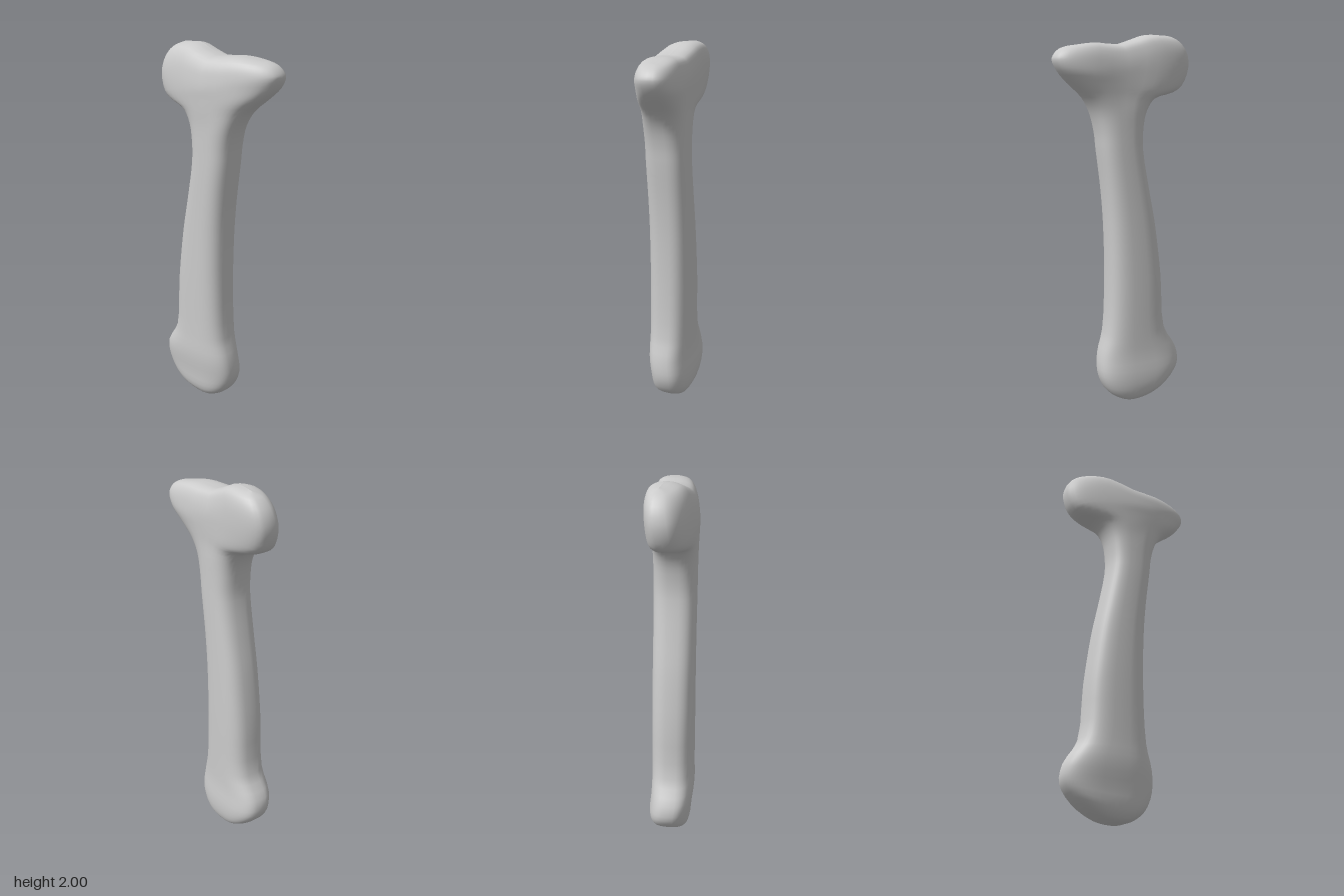
import * as THREE from 'three';

const SIDES = 40, STEPS = 3;

// Lower end and head ribs: [left x, left y, right x, right y, inner y at 1/4, 1/2, 3/4, left z, mid z, right z, half depth]
const foot = [
  [-0.19, 0.035, 0.01, 0.012, 0.015, 0.004, 0.004, 0, 0, 0, 0],
  [-0.22, 0.05, 0.04, 0.025, 0.022, 0.008, 0.008, 0, 0, 0, 0.065],
  [-0.29, 0.1, 0.09, 0.07, 0.07, 0.055, 0.055, 0, 0, 0, 0.103],
  [-0.345, 0.18, 0.128, 0.16, 0.16, 0.15, 0.15, 0, 0, 0, 0.115],
];
const head = [
  [-0.19, 1.67, 0.21, 1.68, 1.67, 1.68, 1.68, 0.01, 0.015, 0, 0.115],
  [-0.295, 1.70, 0.30, 1.755, 1.72, 1.74, 1.745, 0.0, 0.015, -0.015, 0.118],
  [-0.35, 1.735, 0.355, 1.81, 1.775, 1.79, 1.80, -0.005, 0.015, -0.03, 0.12],
  [-0.385, 1.83, 0.382, 1.865, 1.86, 1.84, 1.85, -0.015, 0.012, -0.03, 0.117],
  [-0.37, 1.91, 0.37, 1.895, 1.93, 1.89, 1.90, -0.025, 0.01, -0.028, 0.107],
  [-0.325, 1.965, 0.345, 1.918, 1.975, 1.93, 1.935, -0.03, 0.005, -0.025, 0.085],
  [-0.28, 1.988, 0.31, 1.932, 1.992, 1.945, 1.95, -0.035, 0, -0.025, 0.045],
  [-0.26, 1.995, 0.29, 1.936, 1.996, 1.947, 1.953, -0.035, 0, -0.025, 0],
];
// Shaft: [height, left x, right x, half depth]
const shaft = [
  [0.27, -0.337, 0.123, 0.117], [0.4, -0.26, 0.09, 0.115], [0.7, -0.235, 0.075, 0.115],
  [1.0, -0.195, 0.08, 0.113], [1.2, -0.155, 0.095, 0.112], [1.4, -0.12, 0.12, 0.112],
  [1.5, -0.12, 0.132, 0.112], [1.6, -0.14, 0.16, 0.113],
].map(([y, l, r, d]) => [l, y, r, y, y, y, y, 0.012, 0.012, 0.012, d]);

// Rounded ring of points that follows the curve of one rib
function ribRing([xl, yl, xr, yr, y1, y2, y3, zl, zm, zr, depth]) {
  const x = (f) => xl + (xr - xl) * f;
  const spine = new THREE.CatmullRomCurve3([
    new THREE.Vector3(xl, yl, zl),
    new THREE.Vector3(x(0.25), y1, (zl + zm) / 2),
    new THREE.Vector3(x(0.5), y2, zm),
    new THREE.Vector3(x(0.75), y3, (zm + zr) / 2),
    new THREE.Vector3(xr, yr, zr),
  ]);
  const soft = (v) => Math.sign(v) * Math.abs(v) ** 0.72;
  return Array.from({ length: SIDES }, (_, j) => {
    const t = (j / SIDES) * Math.PI * 2;
    const p = spine.getPoint(THREE.MathUtils.clamp((soft(Math.cos(t)) + 1) / 2, 0, 1));
    p.z += depth * soft(Math.sin(t));
    return p;
  });
}

// Smooth skin through all rings; the first and last rings are flattened shut
function skin(rings) {
  const rows = (rings.length - 1) * STEPS;
  const columns = rings[0].map((_, j) =>
    new THREE.CatmullRomCurve3(rings.map((r) => r[j]), false, 'centripetal'));
  const positions = [], index = [];
  for (let i = 0; i <= rows; i++) {
    for (const c of columns) positions.push(...c.getPoint(i / rows).toArray());
  }
  for (let i = 0; i < rows; i++) {
    for (let j = 0; j < SIDES; j++) {
      const k = (j + 1) % SIDES;
      const a = i * SIDES + j, b = i * SIDES + k, c = a + SIDES, d = b + SIDES;
      index.push(a, c, b, b, c, d);
    }
  }
  const geometry = new THREE.BufferGeometry();
  geometry.setAttribute('position', new THREE.Float32BufferAttribute(positions, 3));
  geometry.setIndex(index);
  geometry.computeVertexNormals();
  return geometry;
}

export function createModel() {
  const group = new THREE.Group();
  group.name = 'legBone';
  const bone = new THREE.Mesh(
    skin([...foot, ...shaft, ...head].map(ribRing)),
    new THREE.MeshStandardMaterial({ color: 0xcccccc }));
  bone.name = 'bone';
  group.add(bone);
  return group;
}
